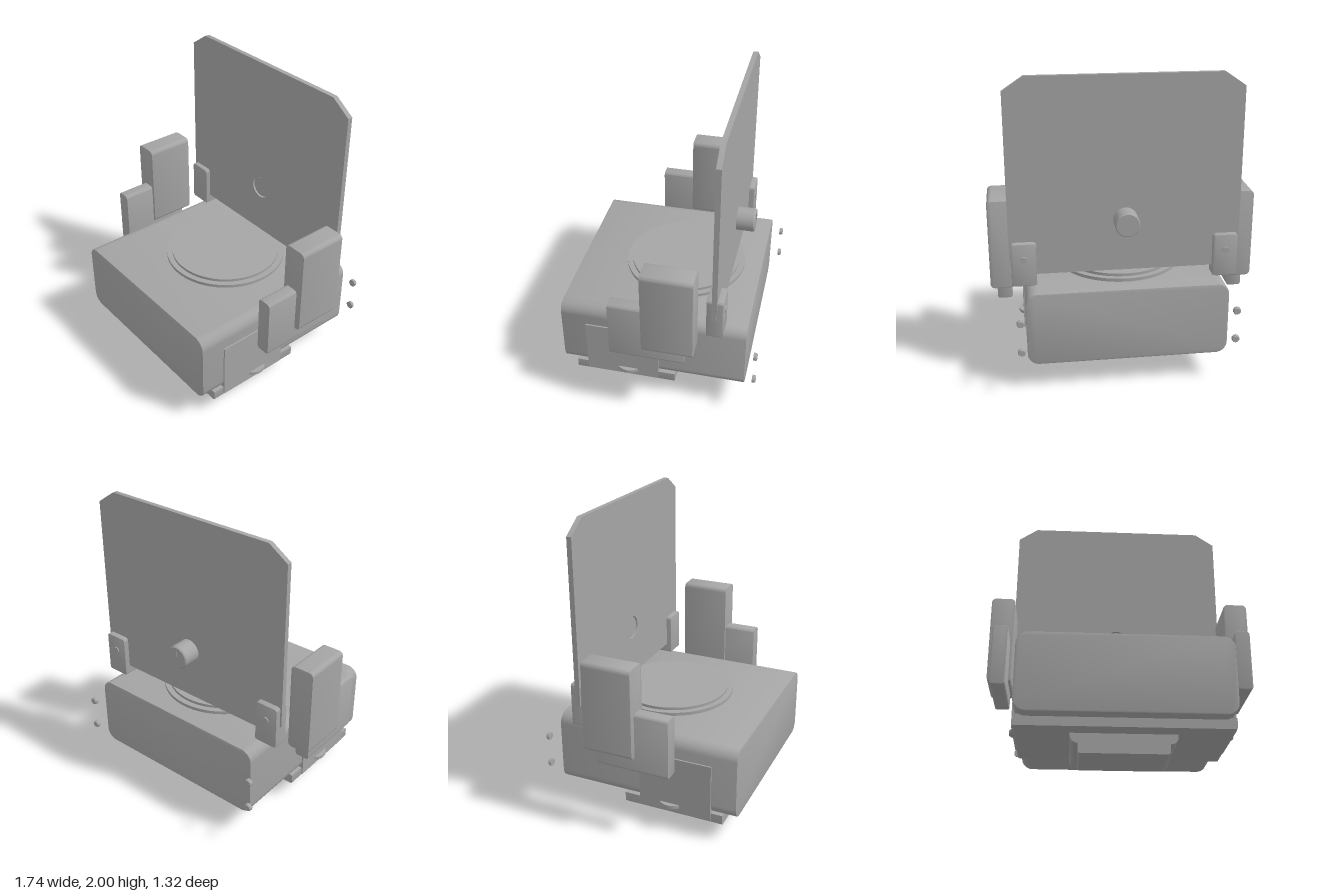
import * as THREE from 'three';
import { toCreasedNormals } from 'three/addons/utils/BufferGeometryUtils.js';

const grey = new THREE.MeshStandardMaterial({ color: 0xa5a5a5 });
grey.name = 'grey plastic';

export function createModel() {
  const model = new THREE.Group();
  model.name = 'deviceWithUprightPlate';

  function add(name, geometry, x = 0, y = 0, z = 0) {
    const mesh = new THREE.Mesh(geometry, grey);
    mesh.name = name;
    mesh.position.set(x, y, z);
    model.add(mesh);
    return mesh;
  }

  // Extrude a shape in the xy plane between two depths
  function extrude(shape, z0, z1, bevel = 0) {
    const g = new THREE.ExtrudeGeometry(shape, {
      depth: z1 - z0 - 2 * bevel, curveSegments: 10, bevelEnabled: bevel > 0,
      bevelSize: bevel, bevelOffset: -bevel, bevelThickness: bevel, bevelSegments: 2,
    });
    g.translate(0, 0, z0 + bevel);
    return toCreasedNormals(g, 0.6);
  }

  // Rectangle with separate top and bottom corner radii
  function roundedRect(x0, x1, y0, y1, top, bottom) {
    const s = new THREE.Shape();
    s.moveTo(x0 + bottom, y0);
    s.lineTo(x1 - bottom, y0);
    if (bottom) s.absarc(x1 - bottom, y0 + bottom, bottom, -Math.PI / 2, 0);
    s.lineTo(x1, y1 - top);
    if (top) s.absarc(x1 - top, y1 - top, top, 0, Math.PI / 2);
    s.lineTo(x0 + top, y1);
    if (top) s.absarc(x0 + top, y1 - top, top, Math.PI / 2, Math.PI);
    s.lineTo(x0, y0 + bottom);
    if (bottom) s.absarc(x0 + bottom, y0 + bottom, bottom, Math.PI, Math.PI * 1.5);
    return s;
  }

  function slab(name, x, y, z, top, bottom, bevel = 0) {
    return add(name, extrude(roundedRect(x[0], x[1], y[0], y[1], top, bottom), z[0], z[1], bevel));
  }

  // Cylinder lying along z
  function peg(name, r0, r1, x, y, z0, z1) {
    const g = new THREE.CylinderGeometry(r1, r0, z1 - z0, 32);
    g.rotateX(Math.PI / 2);
    return add(name, g, x, y, (z0 + z1) / 2);
  }

  // Main housing and stepped underside
  slab('housing', [-0.65, 0.65], [0.178, 0.67], [-0.58, 0.66], 0.075, 0.075, 0.006);
  slab('undertray', [-0.65, 0.65], [0.122, 0.19], [-0.11, 0.57], 0, 0.012);
  slab('middleFoot', [-0.32, 0.32], [0.063, 0.18], [-0.14, 0.445], 0, 0.045);
  slab('lowerFoot', [-0.272, 0.272], [0, 0.066], [0.07, 0.45], 0, 0.018);

  // Stepped round platform on top
  add('platformRim', new THREE.CylinderGeometry(0.41, 0.41, 0.025, 72), 0, 0.679, -0.05);
  add('platformDisc', new THREE.CylinderGeometry(0.373, 0.373, 0.03, 72), 0, 0.695, -0.05);

  // Upright plate with clipped top corners, notched bottom corners and a knob hole
  const plate = new THREE.Shape([
    [-0.57, 0.73], [0.57, 0.73], [0.72, 0.73], [0.72, 0.81], [0.742, 0.81], [0.742, 1.91],
    [0.61, 2], [-0.61, 2], [-0.742, 1.91], [-0.742, 0.81], [-0.72, 0.81], [-0.72, 0.73],
  ].map(([x, y]) => new THREE.Vector2(x, y)));
  const hole = new THREE.Path();
  hole.absarc(0, 1.077, 0.078, 0, Math.PI * 2, true);
  plate.holes.push(hole);
  add('uprightPlate', extrude(plate, -0.398, -0.365));

  // Knob behind the plate, its spindle end showing at the front
  peg('knobSpindle', 0.07, 0.07, 0, 1.077, -0.42, -0.372);
  peg('knob', 0.078, 0.078, 0, 1.077, -0.512, -0.385);
  peg('knobCap', 0.072, 0.078, 0, 1.077, -0.52, -0.512);
  add('knobMark', new THREE.BoxGeometry(0.008, 0.045, 0.006), 0, 1.11, -0.521);

  for (const s of [1, -1]) {
    const span = (a, b) => (s > 0 ? [a, b] : [-b, -a]);

    // Brackets gripping the plate
    slab('plateBracket', span(0.57, 0.73), [0.665, 0.952], [-0.437, -0.33], 0.02, 0.012, 0.006);
    peg('bracketScrew', 0.022, 0.025, s * 0.65, 0.845, -0.444, -0.43);

    // Stepped side arms
    slab('sideArm', span(0.712, 0.87), [0.585, 1.187], [-0.275, 0.055], 0.03, 0.03, 0.004);
    slab('armStep', span(0.73, 0.828), [0.483, 0.885], [-0.21, 0.28], 0.025, 0.018, 0.004);

    // Side hatch with a curved finger tab
    add('sideHatch', new THREE.BoxGeometry(0.04, 0.39, 0.492), s * 0.64, 0.335, 0.246);
    add('hatchTab', new THREE.CylinderGeometry(0.088, 0.088, 0.022, 40), s * 0.603, 0.186, 0.21);

    // Detached rear screws
    for (const y of [0.31, 0.51]) {
      peg('rearScrewHead', 0.02, 0.025, s * 0.687, y, -0.66, -0.652);
      peg('rearScrew', 0.025, 0.025, s * 0.687, y, -0.652, -0.636);
    }
  }
  return model;
}
